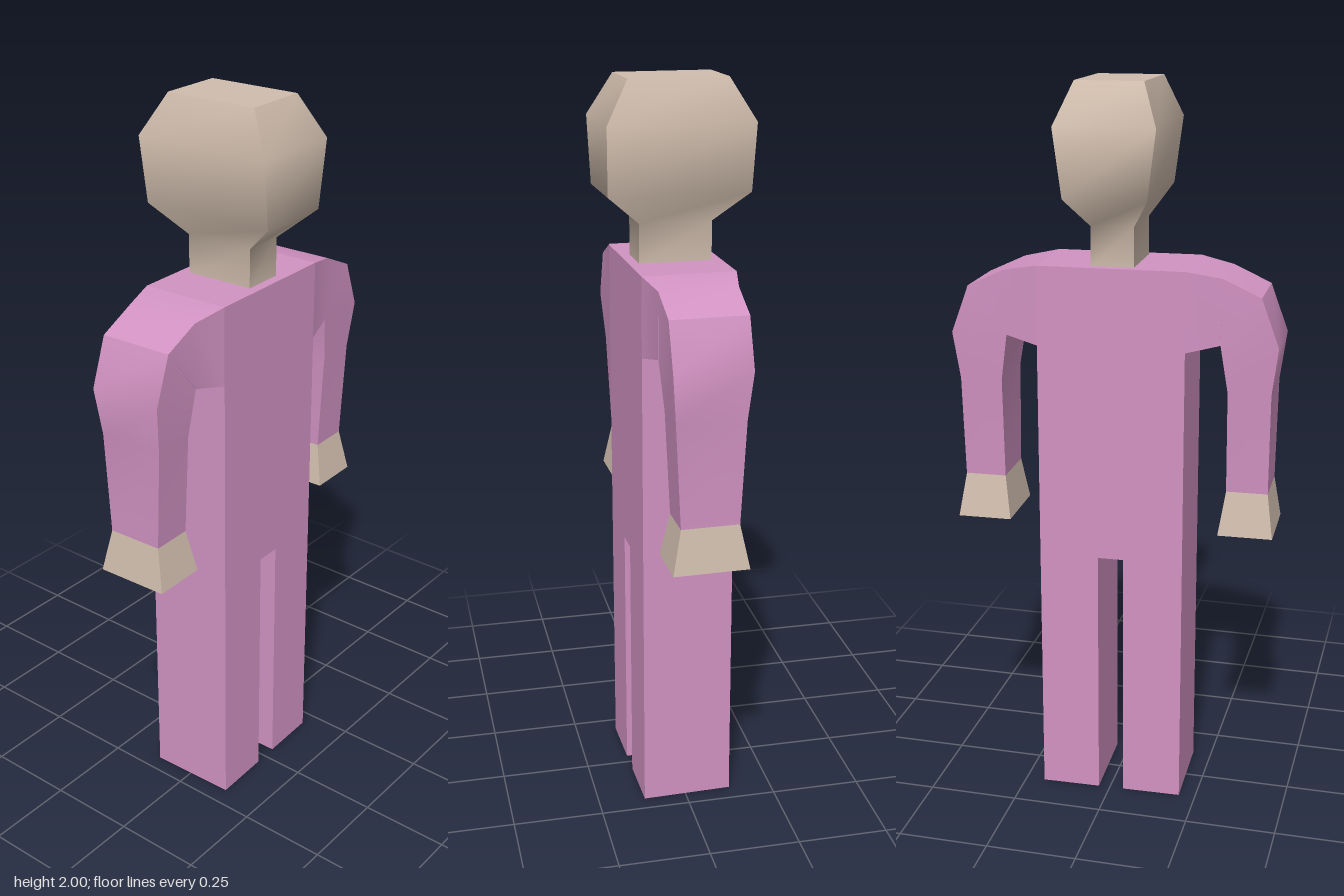
import * as THREE from 'three';
import { toCreasedNormals } from 'three/addons/utils/BufferGeometryUtils.js';

const cloth = new THREE.MeshStandardMaterial({ color: 0xd293c3 });
const skin = new THREE.MeshStandardMaterial({ color: 0xd0bdad });

// Loft of four-cornered sections: [half depth in x, [z, y] of one edge, [z, y] of the opposite edge]
function loft(sections, creaseDegrees, capped) {
  const rings = sections.map(([h, [tz, ty], [bz, by]]) => [
    new THREE.Vector3(h, ty, tz), new THREE.Vector3(-h, ty, tz),
    new THREE.Vector3(-h, by, bz), new THREE.Vector3(h, by, bz),
  ]);
  const points = [];
  const tri = (a, b, c) => {
    if (new THREE.Triangle(a, b, c).getArea() > 1e-7) points.push(a, b, c);
  };
  const quad = (a, b, c, d) => { tri(a, b, c); tri(a, c, d); };
  for (let k = 0; k + 1 < rings.length; k++) {
    for (let i = 0; i < 4; i++) {
      const j = (i + 1) % 4;
      quad(rings[k][i], rings[k][j], rings[k + 1][j], rings[k + 1][i]);
    }
  }
  if (capped) quad(...rings[rings.length - 1]);
  const geometry = new THREE.BufferGeometry().setFromPoints(points);
  return toCreasedNormals(geometry, THREE.MathUtils.degToRad(creaseDegrees));
}

function add(parent, name, geometry, material) {
  const mesh = new THREE.Mesh(geometry, material);
  mesh.name = name;
  parent.add(mesh);
  return mesh;
}

export function createModel() {
  const model = new THREE.Group();
  model.name = 'figure';
  const body = new THREE.Group();
  body.name = 'body';
  body.rotation.y = 0.027; // stands turned very slightly
  model.add(body);

  // Torso and both legs: one slab with a slot between the legs
  const outline = new THREE.Shape([
    [-0.2, 0], [-0.036, 0], [-0.036, 0.715], [0.036, 0.715],
    [0.036, 0], [0.2, 0], [0.2, 1.525], [-0.2, 1.525],
  ].map(([z, y]) => new THREE.Vector2(z, y)));
  const slab = new THREE.ExtrudeGeometry(outline, { depth: 0.25, bevelEnabled: false });
  slab.translate(0, 0, -0.125).rotateY(-Math.PI / 2);
  add(body, 'torsoAndLegs', slab, cloth);

  // Neck and head
  const headSections = [
    [0.098, 0.058, 1.52], [0.098, 0.058, 1.63], [0.19, 0.11, 1.71],
    [0.195, 0.133, 1.89], [0.132, 0.09, 2],
  ].map(([x, z, y]) => [x, [-z, y], [z, y]]);
  add(body, 'headAndNeck', loft(headSections, 55, true), skin);

  // Arms: sleeve bends over the shoulder, hand flares below the wrist
  const wrist = [0.078, [0.423, 0.92], [0.31, 0.92]];
  const sleeve = loft([
    [0.125, [0.2, 1.525], [0.2, 1.31]],
    [0.104, [0.293, 1.507], [0.29, 1.33]],
    [0.103, [0.395, 1.46], [0.29, 1.33]],
    [0.103, [0.443, 1.33], [0.29, 1.33]],
    [0.092, [0.426, 1.2], [0.31, 1.2]],
    wrist,
  ], 40, false);
  const hand = loft([wrist, [0.102, [0.441, 0.8], [0.292, 0.8]]], 40, true);
  for (const [side, turn] of [['front', 0], ['back', Math.PI]]) {
    const arm = new THREE.Group();
    arm.name = side + 'Arm';
    arm.rotation.y = turn;
    add(arm, side + 'Sleeve', sleeve, cloth);
    add(arm, side + 'Hand', hand, skin);
    body.add(arm);
  }
  return model;
}
